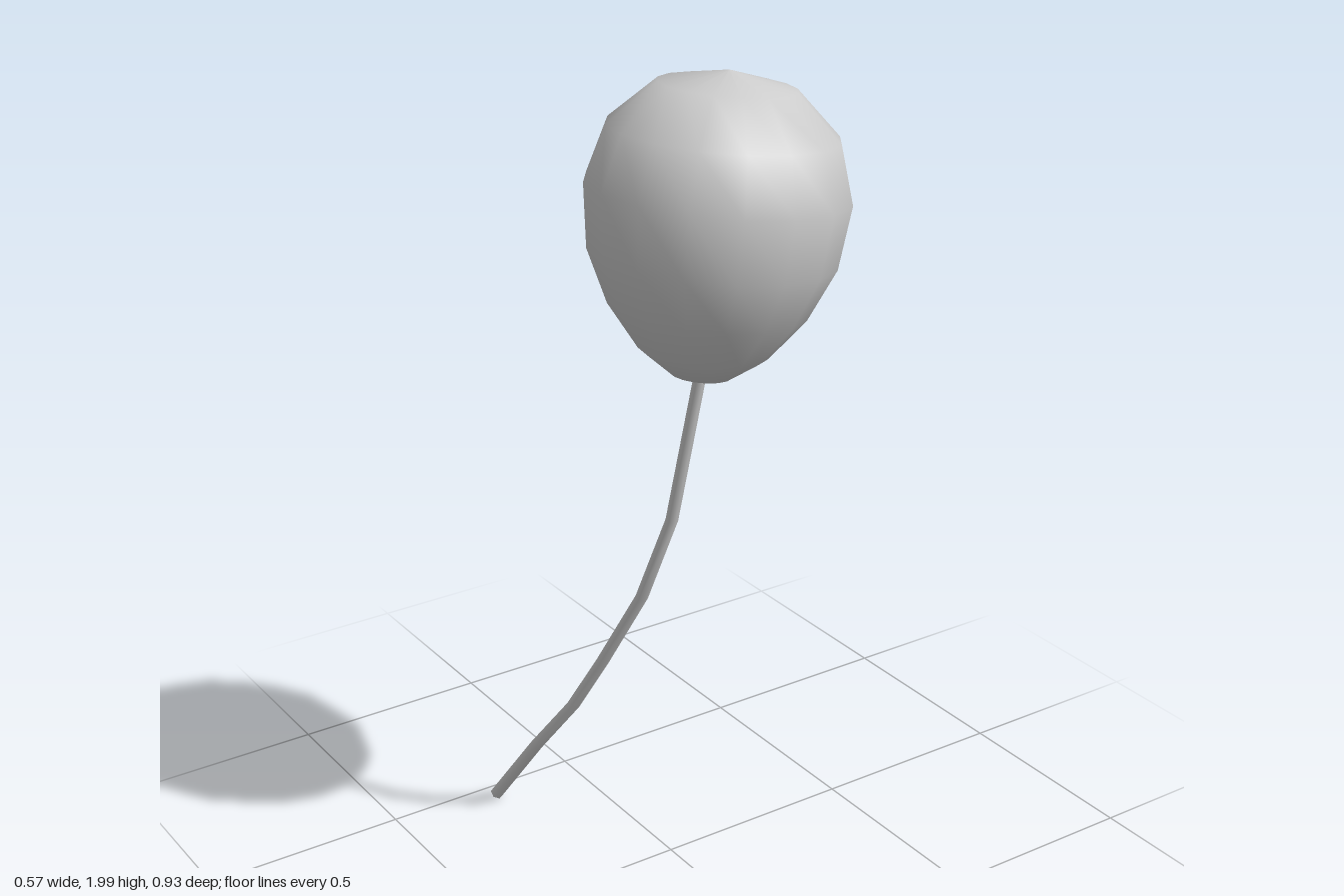
import * as THREE from 'three';

const material = new THREE.MeshStandardMaterial({ color: 0xcccccc });

// Tapered rod whose rings are carried along a list of points, square to the path.
function bentRod(points, topRadius, bottomRadius, sides) {
  const n = points.length - 1;
  const geo = new THREE.CylinderGeometry(topRadius, bottomRadius, 1, sides, n);
  const up = new THREE.Vector3(0, 1, 0);
  const turns = points.map((p, i) => {
    const above = points[Math.max(i - 1, 0)], below = points[Math.min(i + 1, n)];
    return new THREE.Quaternion().setFromUnitVectors(up, above.clone().sub(below).normalize());
  });
  const { position, normal } = geo.attributes;
  const v = new THREE.Vector3();
  for (let i = 0; i < position.count; i++) {
    const ring = Math.round((0.5 - position.getY(i)) * n);
    v.fromBufferAttribute(position, i).setY(0).applyQuaternion(turns[ring]).add(points[ring]);
    position.setXYZ(i, v.x, v.y, v.z);
    v.fromBufferAttribute(normal, i).applyQuaternion(turns[ring]);
    normal.setXYZ(i, v.x, v.y, v.z);
  }
  return geo;
}

export function createModel() {
  const group = new THREE.Group();

  // Balloon: egg-shaped lathe, leaning slightly
  const profile = [
    [0, -0.427], [0.068, -0.408], [0.143, -0.353], [0.217, -0.257], [0.27, -0.14],
    [0.287, 0], [0.25, 0.123], [0.149, 0.218], [0, 0.25],
  ].map(([r, y]) => new THREE.Vector2(r, y));
  const balloon = new THREE.Mesh(new THREE.LatheGeometry(profile, 16), material);
  balloon.name = 'balloon';
  balloon.position.set(0, 1.75, 0.178);
  balloon.rotation.set(-0.03, -0.03, -0.12);
  group.add(balloon);

  // String: trails back and to the side from the balloon's tip
  const path = [
    [-0.046, 1.34, 0.182], [-0.07, 0.97, 0.108], [-0.09, 0.74, 0.013], [-0.122, 0.52, -0.113],
    [-0.152, 0.37, -0.2], [-0.194, 0.22, -0.308], [-0.233, 0.016, -0.452],
  ].map((p) => new THREE.Vector3(...p));
  const string = new THREE.Mesh(bentRod(path, 0.014, 0.017, 6), material);
  string.name = 'string';
  group.add(string);

  return group;
}
